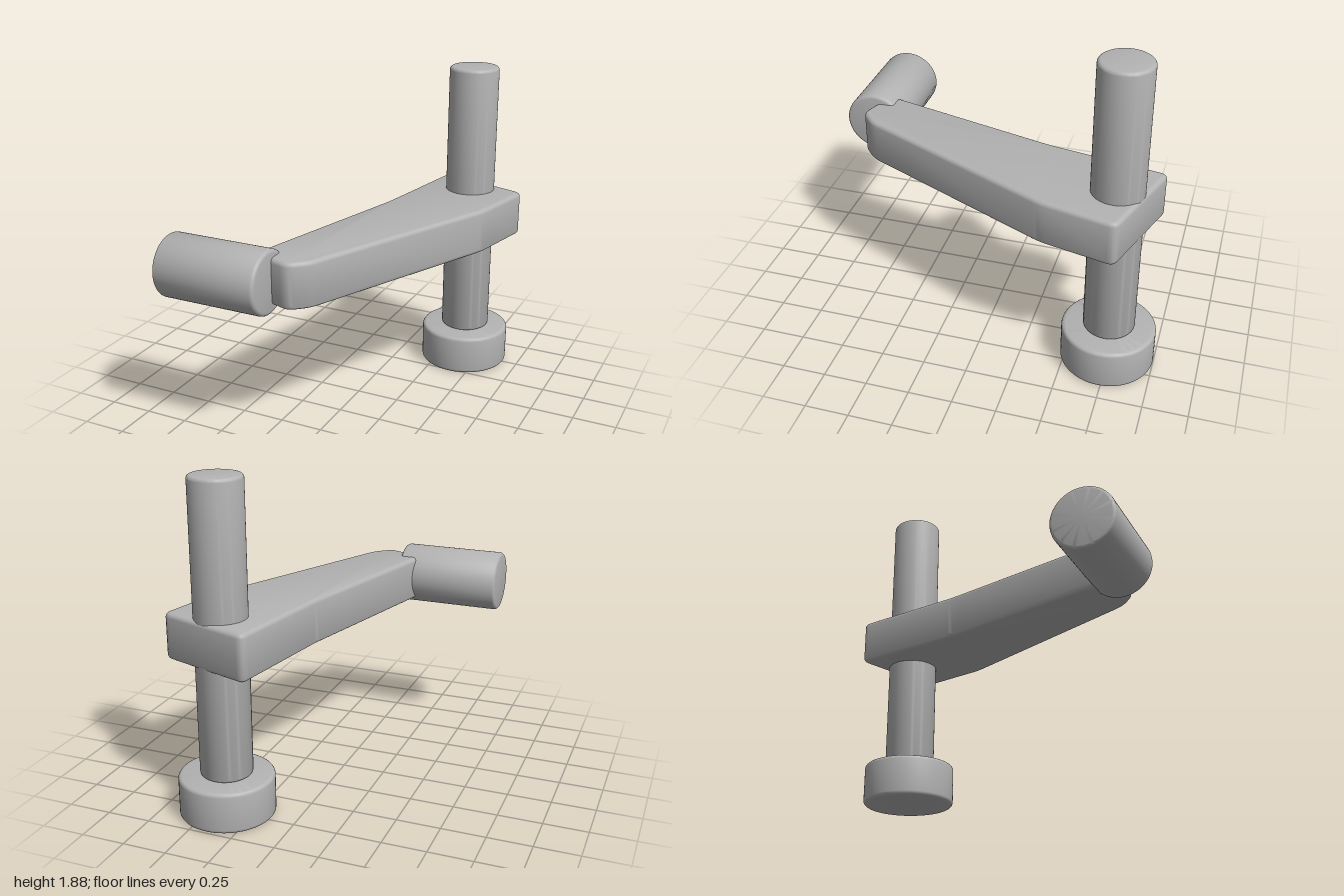
import * as THREE from 'three';
import { toCreasedNormals } from 'three/addons/utils/BufferGeometryUtils.js';

const grey = new THREE.MeshStandardMaterial({ color: 0xb3b3b3 });
grey.name = 'plain grey';

function part(name, geometry) {
  const mesh = new THREE.Mesh(toCreasedNormals(geometry, 0.6), grey);
  mesh.name = name;
  return mesh;
}

// Cylinder standing on y = 0 with rounded rims
function roundedCylinder(radius, height, rim) {
  const profile = [new THREE.Vector2(0, 0)];
  for (const [cy, start] of [[rim, -Math.PI / 2], [height - rim, 0]]) {
    for (let i = 0; i <= 4; i++) {
      const a = start + (i / 4) * Math.PI / 2;
      profile.push(new THREE.Vector2(radius - rim + rim * Math.cos(a), cy + rim * Math.sin(a)));
    }
  }
  profile.push(new THREE.Vector2(0, height));
  return new THREE.LatheGeometry(profile, 64);
}

// Polygon of [x, z] corners, each softened by a short curve
function softShape(corners, soft) {
  const pts = corners.map(([x, z]) => new THREE.Vector2(x, -z));
  const shape = new THREE.Shape();
  pts.forEach((p, i) => {
    const toward = (q) => p.clone().add(q.clone().sub(p).setLength(soft));
    const a = toward(pts[(i + pts.length - 1) % pts.length]);
    const b = toward(pts[(i + 1) % pts.length]);
    if (i === 0) shape.moveTo(a.x, a.y);
    else shape.lineTo(a.x, a.y);
    shape.quadraticCurveTo(p.x, p.y, b.x, b.y);
  });
  shape.closePath();
  return shape;
}

export function createModel() {
  const model = new THREE.Group();
  model.name = 'crankHandle';

  // Upright shaft and its round foot
  const foot = part('foot', roundedCylinder(0.265, 0.237, 0.022));
  foot.position.set(0.4, 0, -0.735);
  const shaft = part('shaft', roundedCylinder(0.145, 1.645, 0.02));
  shaft.position.set(0.4, 0.237, -0.735);

  // Tapered arm with bevelled edges
  const bevel = 0.025;
  const outline = [
    [0.165, -0.968], [0.715, -0.788], [0.62, -0.37], [0.1, 0.76],
    [0, 0.848], [-0.23, 0.765], [0.047, -0.29],
  ];
  const armShape = softShape(outline, 0.045);
  const armGeometry = new THREE.ExtrudeGeometry(armShape, {
    depth: 0.26 - 2 * bevel, bevelEnabled: true, bevelSize: bevel, bevelThickness: bevel,
    bevelOffset: -bevel, bevelSegments: 4, curveSegments: 4,
  });
  armGeometry.rotateX(-Math.PI / 2);
  const arm = part('arm', armGeometry);
  arm.position.y = 0.875 + bevel;

  // Sideways grip at the front end of the arm
  const grip = part('grip', roundedCylinder(0.177, 0.61, 0.02));
  grip.rotation.z = -Math.PI / 2;
  grip.position.set(-0.715, 1.005, 0.823);

  model.add(foot, shaft, arm, grip);
  return model;
}
